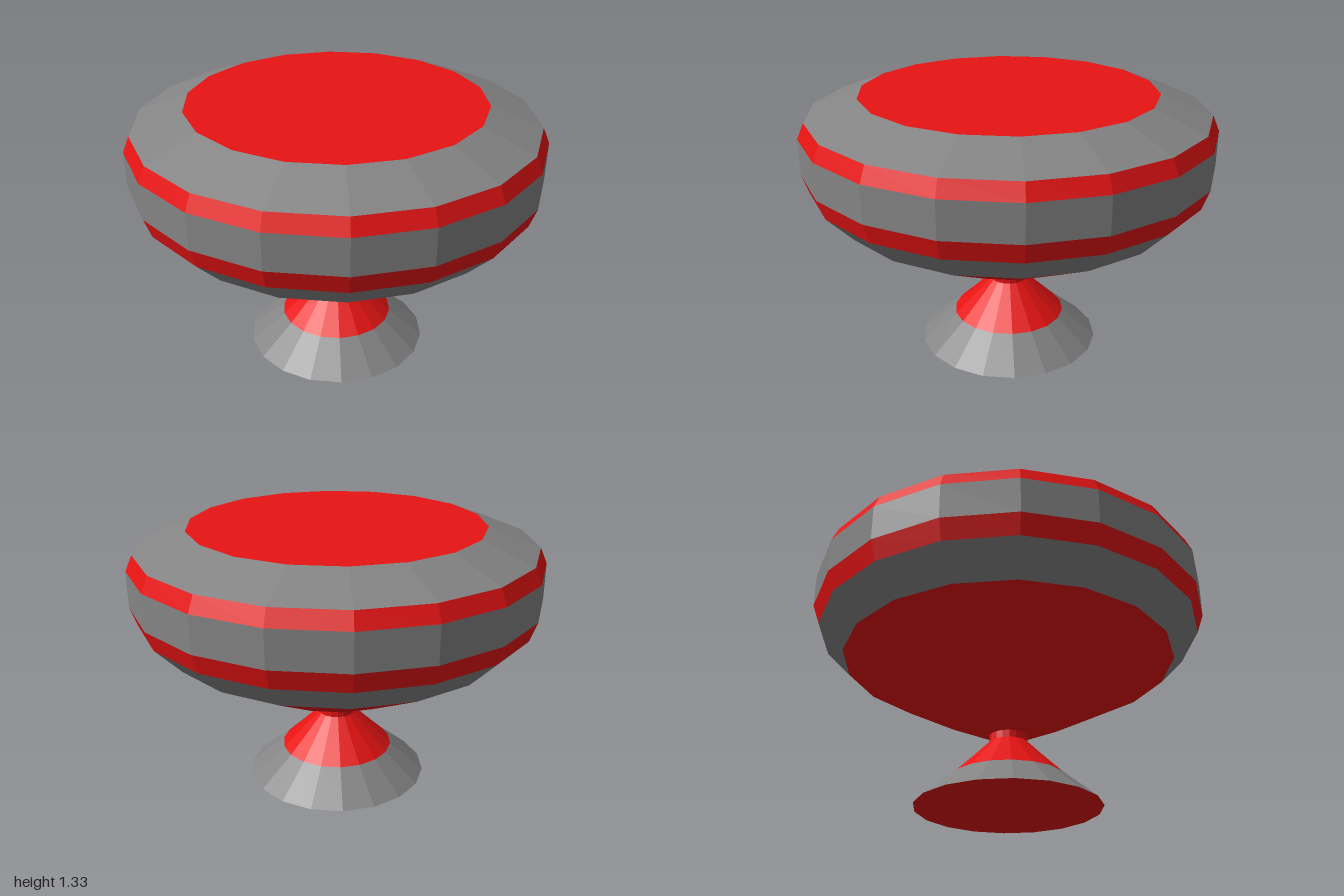
import * as THREE from 'three';

const SIDES = 18;

export function createModel() {
  const model = new THREE.Group();
  model.name = 'pedestalBowl';

  const makeMaterial = (color) => new THREE.MeshStandardMaterial({ color, flatShading: true });
  const red = makeMaterial(0xe81313);
  const grey = makeMaterial(0x848484);

  // Each band is a faceted ring turned from [radius, height] points, bottom to top
  const band = (name, material, ...profile) => {
    const points = profile.map(([r, y]) => new THREE.Vector2(r, y));
    const mesh = new THREE.Mesh(new THREE.LatheGeometry(points, SIDES), material);
    mesh.name = name;
    model.add(mesh);
  };

  // Foot and neck
  band('footUnderside', red, [0, 0], [0.455, 0]);
  band('footRim', grey, [0.455, 0], [0.283, 0.145]);
  band('footCone', red, [0.283, 0.145], [0.185, 0.24], [0.095, 0.33]);
  band('neck', red, [0.095, 0.33], [0.095, 0.365]);

  // Bowl
  band('bowlUnderside', red, [0.095, 0.365], [0.425, 0.525], [0.838, 0.75]);
  band('lowerBowlBand', grey, [0.838, 0.75], [0.967, 0.885]);
  band('lowerStripe', red, [0.967, 0.885], [1, 0.98]);
  band('middleBand', grey, [1, 0.98], [1, 1.155]);
  band('upperStripe', red, [1, 1.155], [0.967, 1.23]);

  // Sloping shoulder and flat top
  band('shoulder', grey, [0.967, 1.23], [0.718, 1.325]);
  band('topDisc', red, [0.718, 1.325], [0, 1.325]);

  return model;
}
